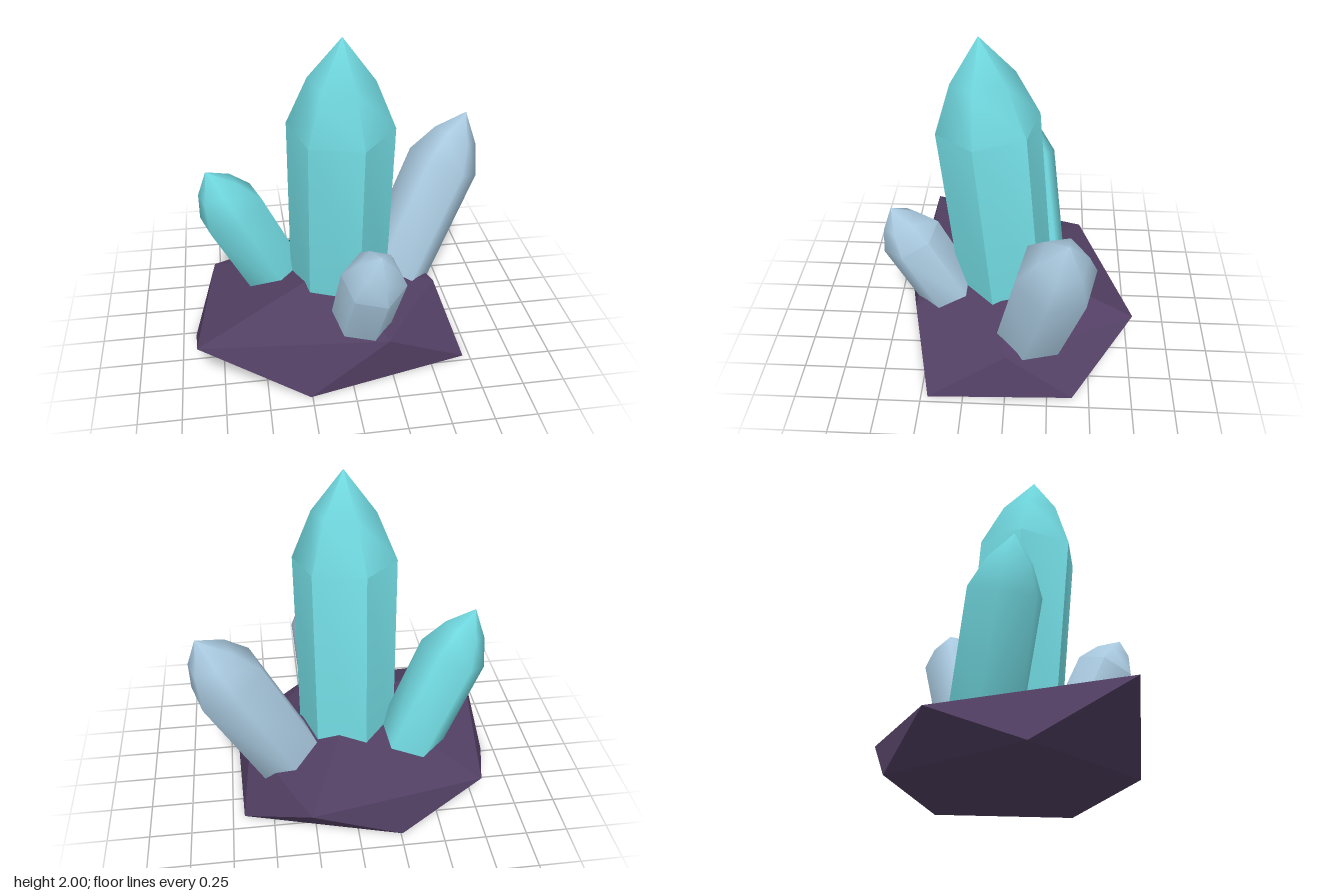
import * as THREE from 'three';
import { toCreasedNormals } from 'three/addons/utils/BufferGeometryUtils.js';

const material = (name, color, flatShading = false) => {
  const m = new THREE.MeshStandardMaterial({ color, flatShading });
  m.name = name;
  return m;
};

// Faceted rock: a foot ring, a shoulder ring turned half a step, and a peak
function makeRock(mat) {
  const foot = [[-0.92, 0, 0.02], [-0.26, 0, 0.68], [0.71, 0, 0.46], [0.68, 0, -0.4], [-0.26, 0, -0.66]];
  const shoulder = [[-0.89, 0.34, 0.56], [0.22, 0.275, 0.58], [0.62, 0.255, 0], [0.29, 0.31, -0.76], [-0.78, 0.2, -0.46]];
  const peak = [-0.05, 0.5, 0.08];
  const points = [];
  for (let i = 0; i < 5; i++) {
    const j = (i + 1) % 5;
    points.push(peak, shoulder[i], shoulder[j]);
    points.push(foot[j], shoulder[j], shoulder[i]);
    points.push(shoulder[i], foot[i], foot[j]);
    if (i > 0 && i < 4) points.push(foot[0], foot[j], foot[i]);
  }
  const geo = new THREE.BufferGeometry();
  geo.setAttribute('position', new THREE.Float32BufferAttribute(points.flat(), 3));
  geo.computeVertexNormals();
  const mesh = new THREE.Mesh(geo, mat);
  mesh.name = 'rockBase';
  return mesh;
}

// Six-sided crystal: straight shaft, then a two-step pointed cap.
// center is the middle of the shaft's upper end, tip is the point.
function makeCrystal({ name, mat, center, tip, radius, depth, crease }) {
  const top = new THREE.Vector3(...center);
  const axis = new THREE.Vector3(...tip).sub(top);
  const cap = axis.length();
  const profile = [
    [0, -depth], [radius * 0.97, -depth], [radius, 0], [radius * 0.61, cap * 0.54], [0, cap],
  ].map(([r, y]) => new THREE.Vector2(r, y));
  const lathe = new THREE.LatheGeometry(profile, 6, THREE.MathUtils.degToRad(17));
  const mesh = new THREE.Mesh(toCreasedNormals(lathe, crease), mat);
  mesh.name = name;
  mesh.position.copy(top);
  mesh.quaternion.setFromUnitVectors(new THREE.Vector3(0, 1, 0), axis.normalize());
  return mesh;
}

export function createModel() {
  const group = new THREE.Group();
  group.name = 'crystalCluster';

  const rock = material('purple rock', 0x523f63, true);
  const teal = material('teal crystal', 0x6fd6dd);
  const blue = material('pale blue crystal', 0xa9c9df);

  group.add(makeRock(rock));
  const crystals = [
    { name: 'mainCrystal', mat: teal, center: [-0.005, 1.47, 0.125], tip: [-0.005, 2, 0.172], radius: 0.308, depth: 1.3, crease: 0.99 },
    { name: 'rightSideCrystal', mat: teal, center: [-0.645, 0.875, -0.06], tip: [-0.775, 1.155, -0.02], radius: 0.21, depth: 0.75, crease: 1.1 },
    { name: 'leftSideCrystal', mat: blue, center: [0.715, 0.97, -0.28], tip: [0.86, 1.283, -0.338], radius: 0.228, depth: 0.9, crease: 1.1 },
    { name: 'frontCrystal', mat: blue, center: [0.113, 0.74, 0.595], tip: [0.13, 0.96, 0.7], radius: 0.187, depth: 0.58, crease: 1.1 },
  ];
  for (const c of crystals) group.add(makeCrystal(c));
  return group;
}
